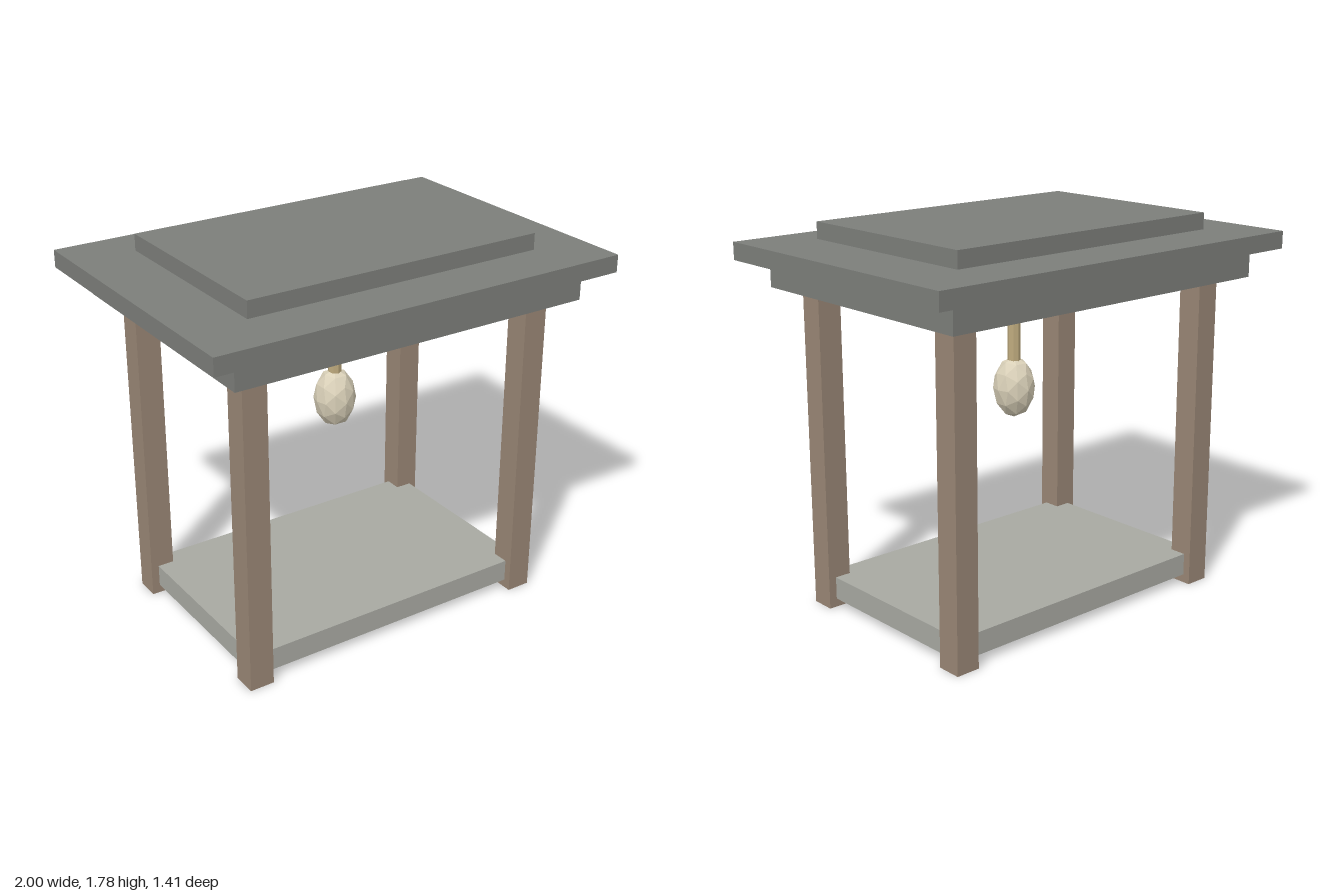
import * as THREE from 'three';

const material = (color) => new THREE.MeshStandardMaterial({ color, flatShading: true });

export function createModel() {
  const model = new THREE.Group();
  model.name = 'lanternPavilion';

  const slate = material(0x7c7e7a);
  const stone = material(0xa8a9a2);
  const timber = material(0x998675);
  const brass = material(0xbeaa7d);
  const glow = material(0xd9d0b8);

  const add = (name, geometry, mat, x, y, z) => {
    const mesh = new THREE.Mesh(geometry, mat);
    mesh.name = name;
    mesh.position.set(x, y, z);
    model.add(mesh);
    return mesh;
  };
  // Horizontal slab centred on the origin, between two heights
  const slab = (name, width, depth, bottom, top, mat) =>
    add(name, new THREE.BoxGeometry(width, top - bottom, depth), mat, 0, (bottom + top) / 2, 0);

  // Floor, with its corners set into the posts
  slab('floor', 1.48, 0.96, 0.04, 0.145, stone);

  // Four corner posts
  const postHeight = 1.485;
  const postGeometry = new THREE.BoxGeometry(0.115, postHeight, 0.115);
  for (const [side, x] of [['Left', 0.72], ['Right', -0.72]]) {
    for (const [end, z] of [['front', 0.458], ['back', -0.458]]) {
      add(`${end}${side}Post`, postGeometry, timber, x, postHeight / 2, z);
    }
  }

  // Stepped roof: three slabs with narrow gaps between them
  slab('roofBeam', 1.74, 1.25, 1.485, 1.6, slate);
  slab('roofSlab', 2, 1.41, 1.61, 1.69, slate);
  slab('roofCap', 1.44, 0.95, 1.7, 1.776, slate);

  // Hanging lantern: rod and stretched faceted globe
  add('lanternRod', new THREE.CylinderGeometry(0.03, 0.03, 0.335, 8), brass, 0, 1.2475, 0);
  const globe = add('lanternGlobe', new THREE.IcosahedronGeometry(0.097, 1), glow, 0, 1, 0);
  globe.scale.y = 1.46;

  return model;
}
